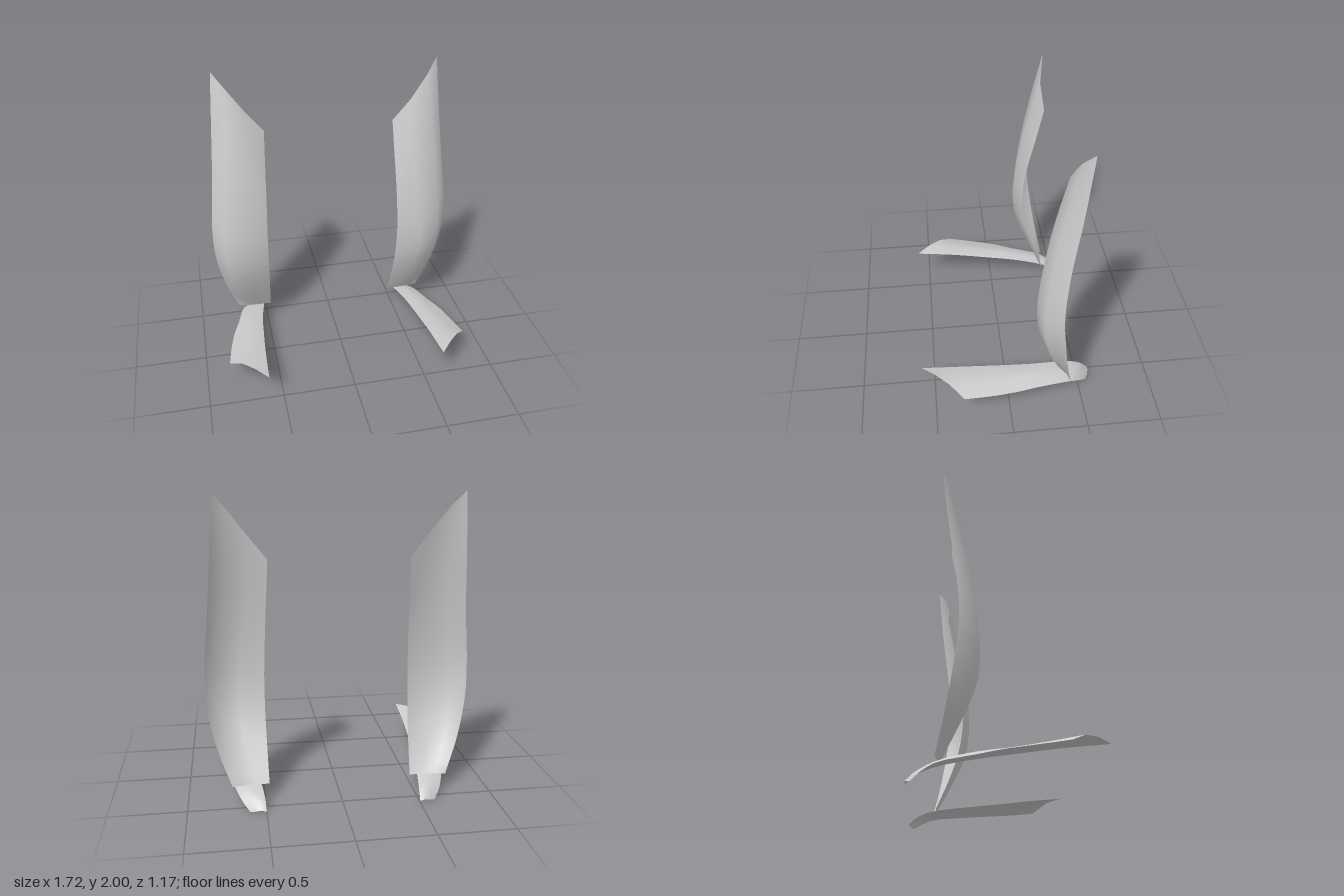
import * as THREE from 'three';

const material = new THREE.MeshStandardMaterial({ color: 0xcccccc, side: THREE.DoubleSide });
const ROWS = 16;

// Lengthwise ribs, inner edge to outer edge, for the left side
const SHIN = [
  [[.45, 1.59, -.37], [.46, 1.35, -.32], [.47, 1.1, -.265], [.48, .8, -.235], [.48, .55, -.26], [.475, .33, -.325], [.47, .12, -.41]],
  [[.57, 1.74, -.355], [.58, 1.45, -.285], [.61, 1.15, -.225], [.64, .82, -.185], [.64, .57, -.205], [.61, .34, -.295], [.55, .12, -.41]],
  [[.69, 1.9, -.385], [.72, 1.55, -.31], [.755, 1.2, -.25], [.78, .83, -.215], [.775, .58, -.235], [.73, .34, -.31], [.64, .12, -.415]],
  [[.77, 2, -.445], [.80, 1.6, -.40], [.83, 1.22, -.345], [.86, .9, -.32], [.855, .65, -.34], [.80, .37, -.38], [.71, .12, -.43]],
];
const FOOT = [
  [[.60, .255, .58], [.59, .225, .3], [.575, .19, .05], [.555, .155, -.2], [.52, .115, -.42], [.505, .07, -.53], [.50, .015, -.59]],
  [[.68, .265, .49], [.66, .23, .25], [.645, .2, .02], [.62, .165, -.2], [.58, .12, -.42], [.55, .08, -.53], [.535, .025, -.59]],
  [[.76, .25, .40], [.73, .215, .2], [.70, .185, 0], [.68, .16, -.2], [.635, .115, -.42], [.60, .075, -.51], [.57, .015, -.58]],
  [[.84, .19, .31], [.815, .165, .12], [.78, .145, -.06], [.74, .125, -.2], [.685, .09, -.42], [.65, .05, -.50], [.605, .005, -.56]],
];

// Thin curved sheet stretched across the ribs; flip reverses the facing
function sheet(name, ribs, side, flip) {
  const position = [], index = [], n = ROWS + 1;
  for (const rib of ribs) {
    const curve = new THREE.CatmullRomCurve3(rib.map(([x, y, z]) => new THREE.Vector3(side * x, y, z)));
    for (const p of curve.getPoints(ROWS)) position.push(p.x, p.y, p.z);
  }
  for (let c = 0; c < ribs.length - 1; c++) {
    for (let r = 0; r < ROWS; r++) {
      const a = c * n + r, b = a + 1, d = a + n, e = d + 1;
      if (flip) index.push(a, d, b, b, d, e);
      else index.push(a, b, d, b, e, d);
    }
  }
  const geometry = new THREE.BufferGeometry();
  geometry.setAttribute('position', new THREE.Float32BufferAttribute(position, 3));
  geometry.setIndex(index);
  geometry.computeVertexNormals();
  const mesh = new THREE.Mesh(geometry, material);
  mesh.name = name;
  return mesh;
}

export function createModel() {
  const model = new THREE.Group();
  model.name = 'legGuards';
  for (const [label, side] of [['left', 1], ['right', -1]]) {
    const guard = new THREE.Group();
    guard.name = label + 'Guard';
    // Shin plate faces forward, foot plate faces up
    guard.add(sheet(label + 'ShinPlate', SHIN, side, side < 0));
    guard.add(sheet(label + 'FootPlate', FOOT, side, side > 0 ? footFlip(1) : footFlip(-1)));
    model.add(guard);
  }
  return model;
}

// Ribs run front to back on the foot, so they wind like the shin's top-to-bottom ribs
function footFlip(side) {
  return side > 0;
}
